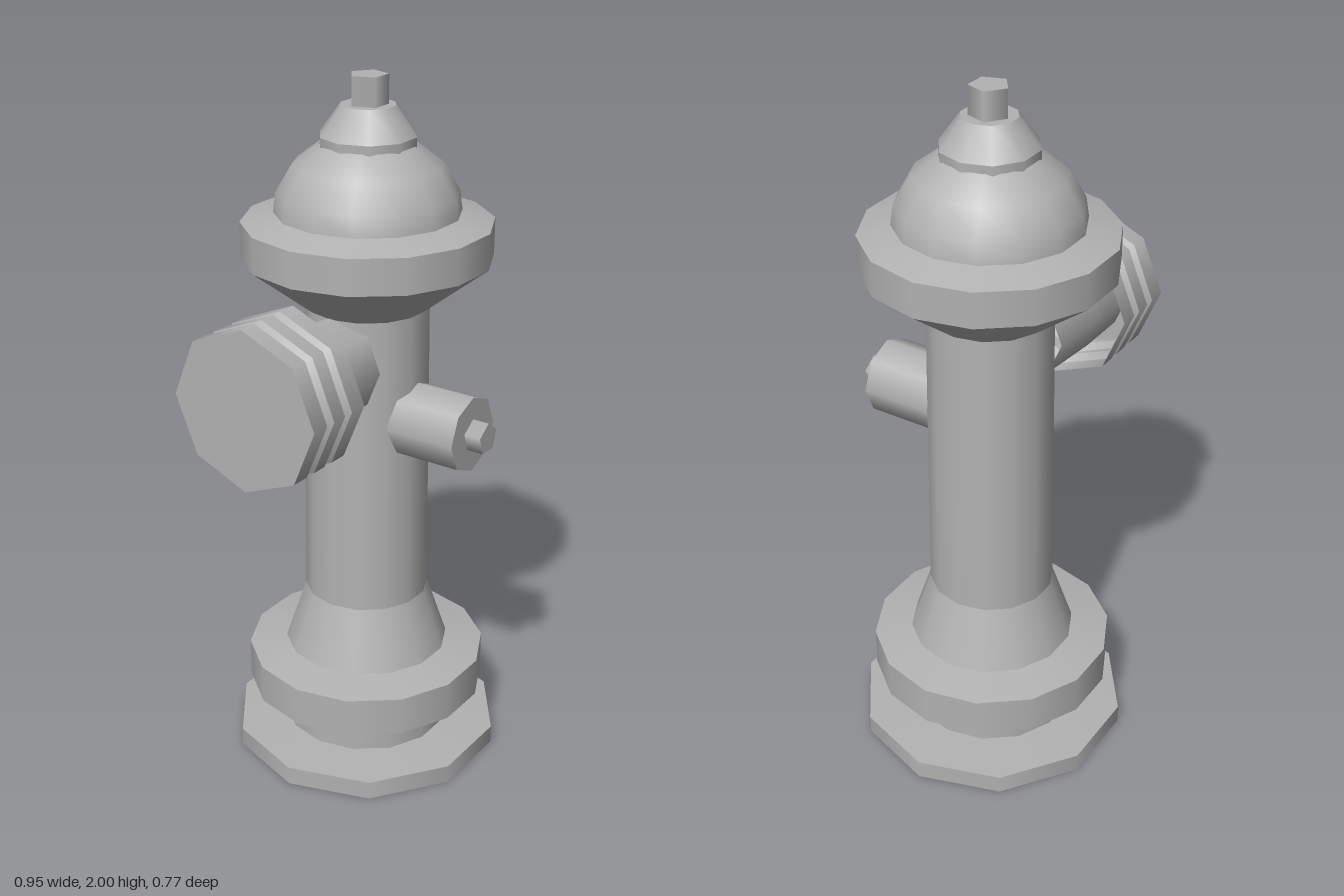
import * as THREE from 'three';
import { mergeGeometries } from 'three/addons/utils/BufferGeometryUtils.js';

const castIron = new THREE.MeshStandardMaterial({ color: 0xb2b2b2 });
const castIronShell = new THREE.MeshStandardMaterial({ color: 0xb2b2b2, side: THREE.DoubleSide });
castIron.name = 'cast iron grey';
castIronShell.name = 'cast iron grey shell';

// Turned part with a vertex on +x: smooth around the axis, sharp between profile bands
// unless soft is set.
function turned(profile, sides, soft = false) {
  const pts = profile.map(([r, y]) => new THREE.Vector2(r, y));
  const lathe = (p) => new THREE.LatheGeometry(p, sides).rotateY(Math.PI / 2);
  if (soft) return lathe(pts);
  return mergeGeometries(pts.slice(1).map((p, i) => lathe([pts[i], p])));
}

// Five-sided operating nut, standing on y = 0 with a corner towards -z
function pentagonNut(radius, height) {
  return new THREE.CylinderGeometry(radius, radius, height, 5)
    .rotateY(Math.PI).translate(0, height / 2, 0);
}

export function createModel() {
  const model = new THREE.Group();
  model.name = 'hydrant';
  const body = new THREE.Group();
  body.name = 'body';
  body.position.set(0.075, 0, -0.012);
  model.add(body);

  const add = (name, geometry, parent = body, material = castIron) => {
    const mesh = new THREE.Mesh(geometry, material);
    mesh.name = name;
    parent.add(mesh);
    return mesh;
  };

  // Ground flange with a recessed opening underneath
  add('baseFlange', turned([
    [0, 0.17], [0.237, 0.17], [0.237, 0], [0.395, 0], [0.395, 0.055], [0.24, 0.063],
  ], 10));

  // Neck, lower collar, flared foot, column and brim
  add('lowerCollar', turned([
    [0.245, 0.055], [0.245, 0.17], [0.35, 0.185], [0.35, 0.3], [0.24, 0.32],
  ], 14));
  add('column', turned([[0.24, 0.32], [0.18, 0.5], [0.172, 1.375]], 14));
  add('brim', turned([
    [0.172, 1.375], [0.345, 1.51], [0.345, 1.61], [0.255, 1.635],
  ], 14));

  // Domed bonnet, its crown and top nut
  add('bonnet', turned([
    [0.255, 1.635], [0.247, 1.69], [0.203, 1.765], [0.13, 1.82],
  ], 14, true));
  add('crown', turned([
    [0.133, 1.815], [0.133, 1.842], [0.076, 1.922], [0, 1.922],
  ], 10));
  add('topNut', pentagonNut(0.054, 0.08)).position.y = 1.92;

  // Large side outlet, its axis pointing to -x
  const sideOutlet = new THREE.Group();
  sideOutlet.name = 'sideOutlet';
  sideOutlet.position.y = 1.24;
  sideOutlet.rotation.z = Math.PI / 2;
  body.add(sideOutlet);
  add('sideNozzle', turned([[0.138, 0.14], [0.15, 0.34], [0.15, 0.5]], 8), sideOutlet);

  // Ribbed hollow cap: three ridges with V grooves between them
  const ridge = 0.224, groove = 0.204;
  add('sideCap', turned([
    [ridge, 0.337], [ridge, 0.392], [groove, 0.407], [ridge, 0.422], [ridge, 0.468],
    [groove, 0.483], [ridge, 0.498], [ridge, 0.552], [0, 0.552],
  ], 8), sideOutlet, castIronShell);

  // Small front outlet, its axis pointing to +z
  const frontOutlet = new THREE.Group();
  frontOutlet.name = 'frontOutlet';
  frontOutlet.position.y = 1.066;
  frontOutlet.rotation.x = Math.PI / 2;
  body.add(frontOutlet);
  add('frontNozzle', turned([[0.109, 0.14], [0.109, 0.348], [0, 0.348]], 8), frontOutlet);
  add('frontNut', pentagonNut(0.045, 0.05), frontOutlet).position.y = 0.347;

  return model;
}
